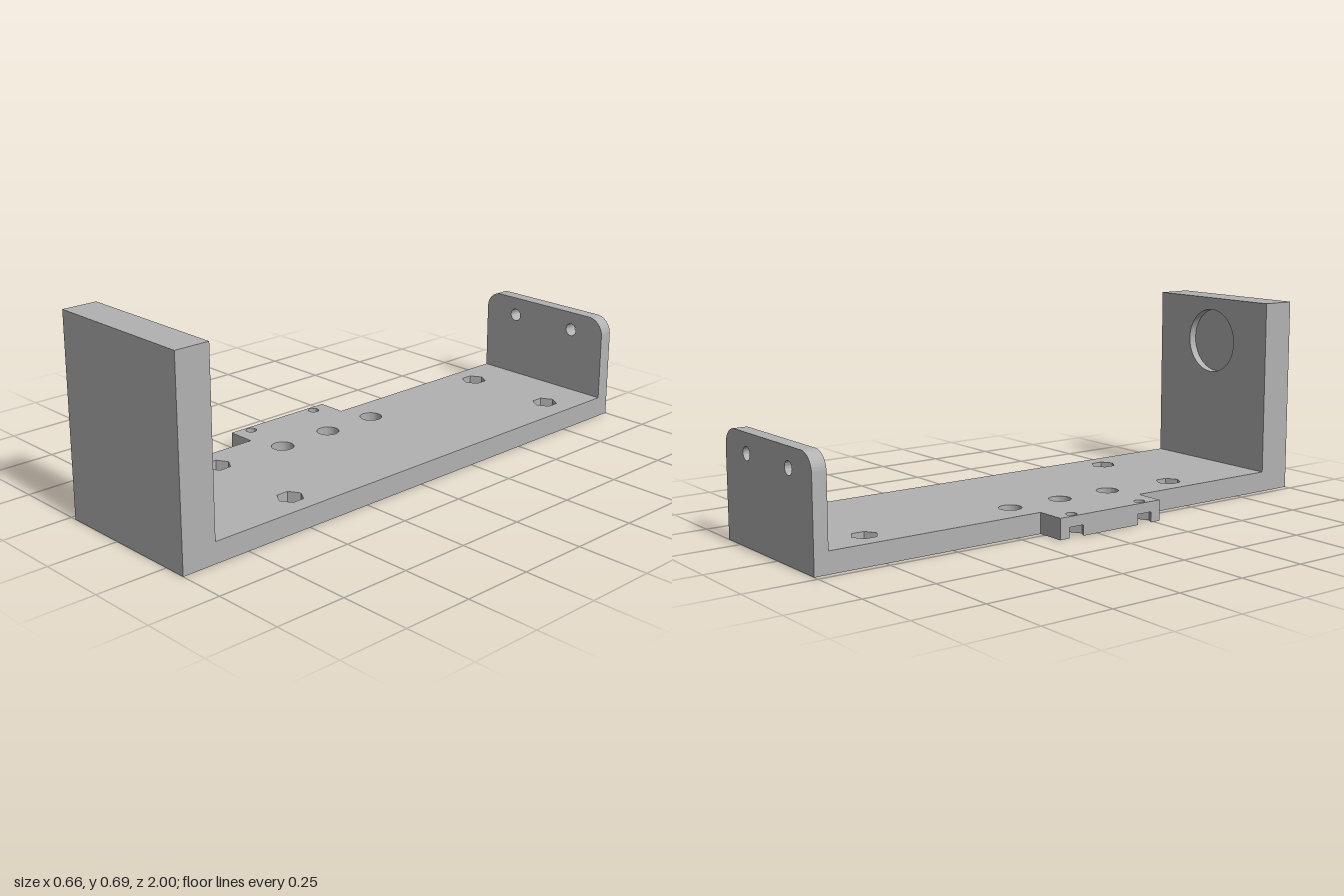
import * as THREE from 'three';
import { toCreasedNormals } from 'three/addons/utils/BufferGeometryUtils.js';

const X0 = -0.227, X1 = 0.331, TAB = -0.331;   // plate sides and tab edge
const T = 0.073, SPLIT = 0.037;                // plate thickness, nut pocket floor
const TAB_Z0 = -0.155, TAB_Z1 = 0.275;
const NUT_R = 0.045, SCREW_R = 0.019;
const screws = [[-0.13, -0.768], [0.224, -0.768], [-0.13, 0.498], [0.234, 0.498]];
const cableHoles = [[-0.112, -0.194], [-0.112, 0.017], [-0.112, 0.228]];
const tabScrews = [[-0.304, -0.088], [-0.304, 0.208]];

const circle = (x, y, r) => new THREE.Path().absarc(x, y, r, 0, Math.PI * 2, false);

// Hexagon with two corners pointing along the second axis
function hexagon(x, y, r) {
  const pts = [];
  for (let i = 0; i < 6; i++) {
    const a = Math.PI / 2 + i * Math.PI / 3;
    pts.push(new THREE.Vector2(x + r * Math.cos(a), y + r * Math.sin(a)));
  }
  return new THREE.Path(pts);
}

const extrude = (shape, depth) => toCreasedNormals(
  new THREE.ExtrudeGeometry(shape, { depth, bevelEnabled: false, curveSegments: 20 }), 0.5);

// Plate outline in (x, z); the tab edge can be notched for side-entry nuts
function plateOutline(notched) {
  const p = [[X0, -1], [X1, -1], [X1, 1], [X0, 1], [X0, TAB_Z1], [TAB, TAB_Z1]];
  if (notched) {
    const flat = NUT_R * Math.cos(Math.PI / 6);
    for (const [x, z] of [...tabScrews].reverse()) {
      const mouth = NUT_R - (x - TAB) * Math.tan(Math.PI / 6);
      p.push([TAB, z + mouth], [x, z + NUT_R], [x + flat, z + NUT_R / 2],
        [x + flat, z - NUT_R / 2], [x, z - NUT_R], [TAB, z - mouth]);
    }
  }
  p.push([TAB, TAB_Z0], [X0, TAB_Z0]);
  return new THREE.Shape(p.map(([x, z]) => new THREE.Vector2(x, z)));
}

export function createModel() {
  const group = new THREE.Group();
  const grey = new THREE.MeshStandardMaterial({ color: 0xb2b2b2 });
  grey.name = 'grey plastic';

  function add(name, geometry, x = 0, y = 0, z = 0) {
    const mesh = new THREE.Mesh(geometry, grey);
    mesh.name = name;
    mesh.position.set(x, y, z);
    group.add(mesh);
  }

  // Lower half of the plate: screw holes and notches under the tab
  const lower = plateOutline(true);
  for (const [x, z] of screws) lower.holes.push(circle(x, z, SCREW_R));
  for (const [x, z] of cableHoles) lower.holes.push(circle(x, z, 0.039));
  add('basePlateLower', extrude(lower, SPLIT).rotateX(Math.PI / 2), 0, SPLIT, 0);

  // Upper half of the plate: hexagonal nut pockets and tab screw holes
  const upper = plateOutline(false);
  for (const [x, z] of screws) upper.holes.push(hexagon(x, z, NUT_R));
  for (const [x, z] of cableHoles) upper.holes.push(circle(x, z, 0.039));
  for (const [x, z] of tabScrews) upper.holes.push(circle(x, z, SCREW_R));
  add('basePlateUpper', extrude(upper, T - SPLIT).rotateX(Math.PI / 2), 0, T, 0);

  // Tall front wall with a shallow round recess on its inner face
  const H = 0.695, wallBack = 0.877, recess = 0.03;
  const face = new THREE.Shape([[X0, T], [X1, T], [X1, H], [X0, H]]
    .map(([x, y]) => new THREE.Vector2(x, y)));
  face.holes.push(circle(0.055, 0.533, 0.118));
  add('frontWallRecessedFace', extrude(face, recess), 0, 0, wallBack);
  const slab = 1 - wallBack - recess;
  add('frontWall', new THREE.BoxGeometry(X1 - X0, H - T, slab),
    (X0 + X1) / 2, (H + T) / 2, 1 - slab / 2);

  // Short back wall with rounded top corners and two screw holes
  const h = 0.375, r = 0.062;
  const back = new THREE.Shape();
  back.moveTo(X0, T);
  back.lineTo(X1, T);
  back.lineTo(X1, h - r);
  back.absarc(X1 - r, h - r, r, 0, Math.PI / 2, false);
  back.lineTo(X0 + r, h);
  back.absarc(X0 + r, h - r, r, Math.PI / 2, Math.PI, false);
  back.lineTo(X0, T);
  for (const x of [-0.084, 0.188]) back.holes.push(circle(x, 0.307, 0.023));
  add('backWall', extrude(back, 0.05), 0, 0, -1);

  return group;
}
